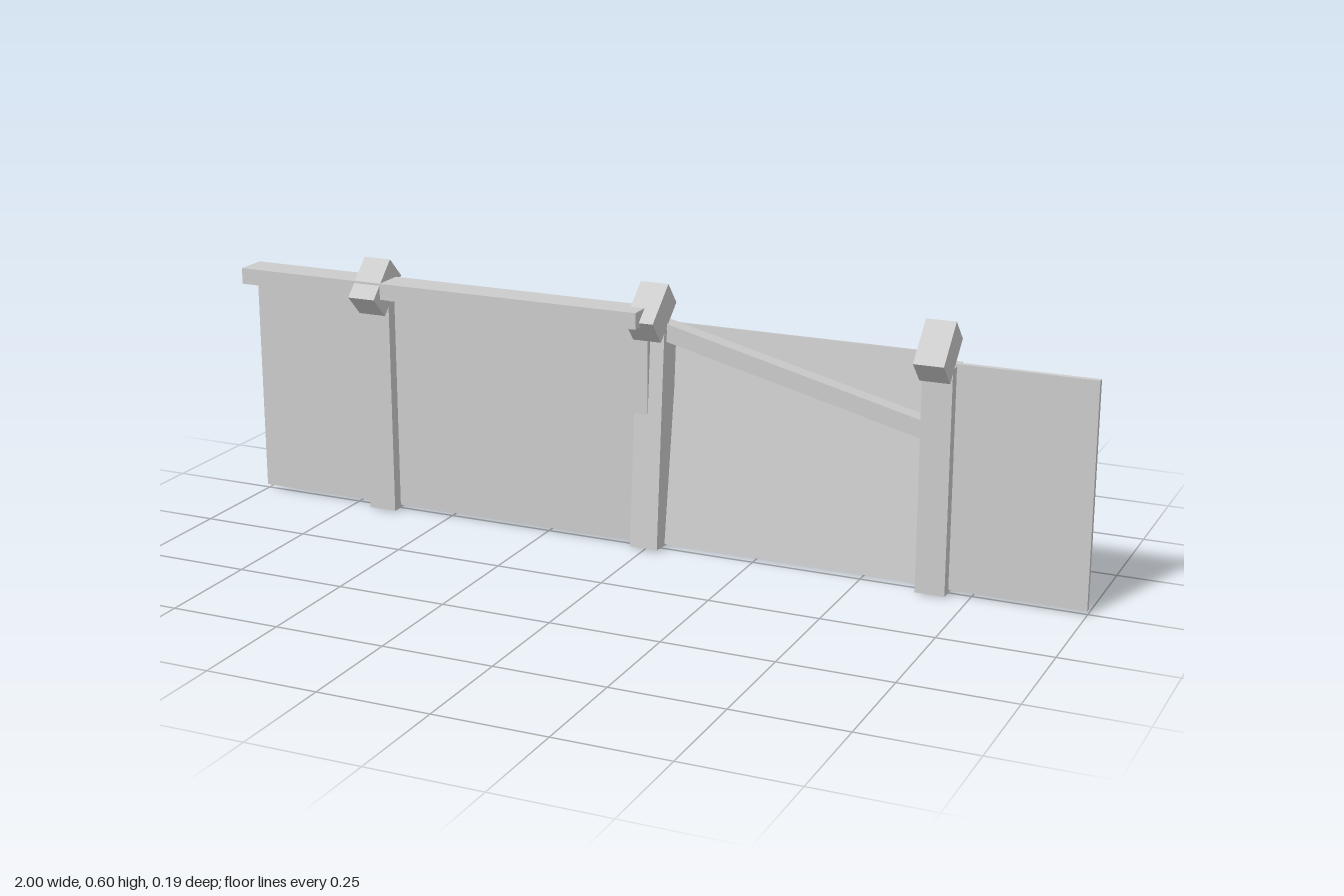
import * as THREE from 'three';

export function createModel() {
  const model = new THREE.Group();
  model.name = 'brokenFence';
  const grey = new THREE.MeshStandardMaterial({ color: 0xcccccc });
  grey.name = 'plain grey';

  // Box of given size, centred at a position
  function box(name, size, pos, parent = model) {
    const mesh = new THREE.Mesh(new THREE.BoxGeometry(...size), grey);
    mesh.name = name;
    mesh.position.set(...pos);
    parent.add(mesh);
    return mesh;
  }

  // Posts with a tilted head block; the middle one leans back
  const posts = [
    { name: 'rightPost', x: -0.667, z: 0, lean: 0 },
    { name: 'middlePost', x: 0, z: -0.002, lean: -0.08 },
    { name: 'leftPost', x: 0.667, z: 0, lean: 0 },
  ];
  for (const { name, x, z, lean } of posts) {
    const post = new THREE.Group();
    post.name = name;
    post.position.set(x, 0.004, z);
    post.rotation.x = lean;
    box('postShaft', [0.066, 0.5, 0.066], [0, 0.25, 0], post);
    box('postHead', [0.066, 0.067, 0.11], [0, 0.536, 0.035], post).rotation.x = Math.PI / 4;
    model.add(post);
  }

  // Upright panels at both ends
  box('rightPanel', [1, 0.498, 0.013], [-0.5, 0.26, 0]);
  box('leftPanel', [0.333, 0.498, 0.013], [0.8335, 0.26, 0]);

  // Loose panel leaning back
  box('leaningPanel', [0.664, 0.5, 0.012], [0.332, 0.254, -0.054]).rotation.x = -0.148;

  // Intact top rail
  box('topRail', [1, 0.037, 0.074], [-0.5, 0.5385, 0.033]);

  // Fallen rail sloping down behind the left post
  box('fallenRail', [0.93, 0.039, 0.039], [0.473, 0.385, -0.041]).rotation.z = -0.243;

  return model;
}
